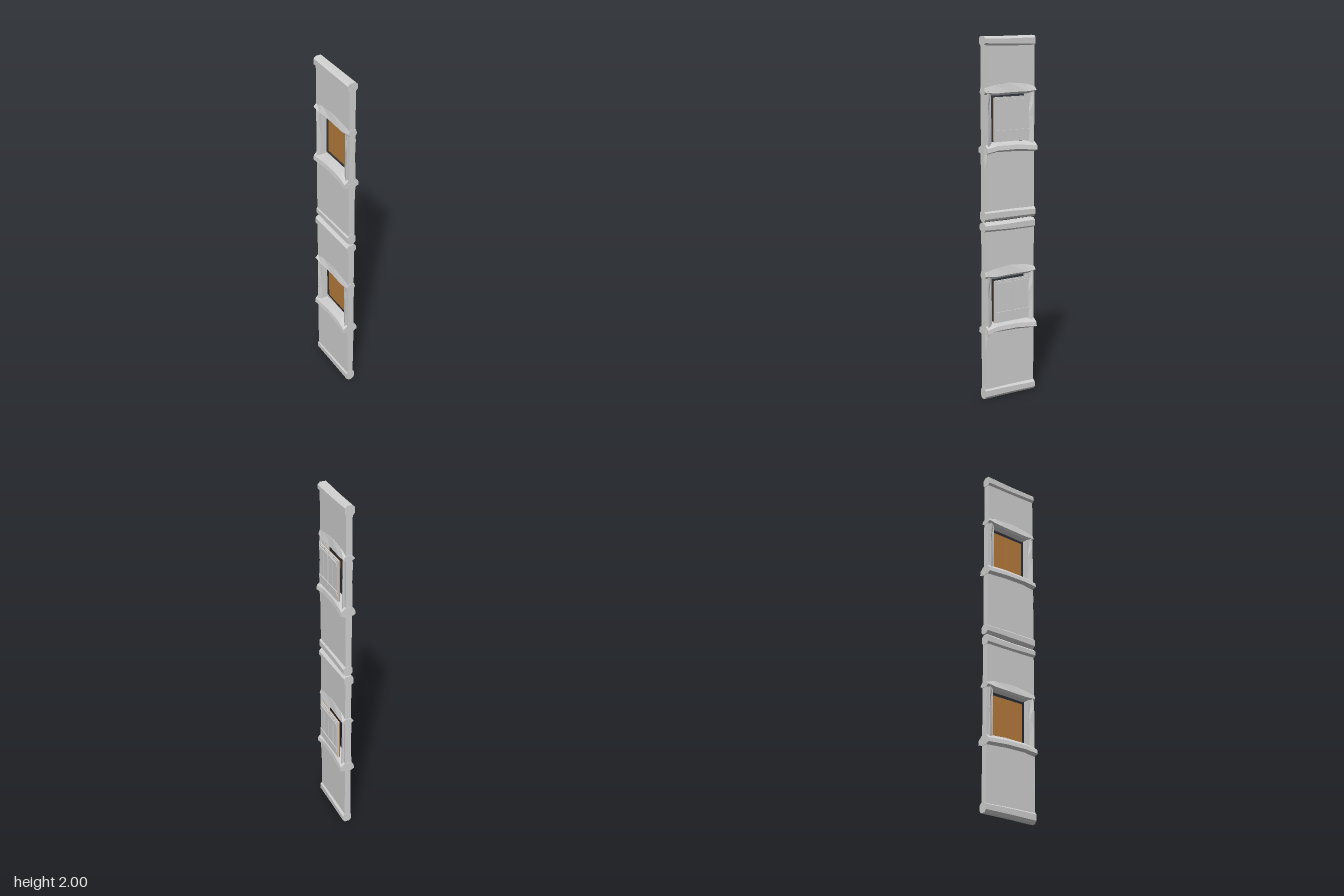
import * as THREE from 'three';

const wallGrey = new THREE.MeshStandardMaterial({ color: 0xd2d2d2 });
wallGrey.name = 'wall grey';
wallGrey.flatShading = true;
const shutterBrown = new THREE.MeshStandardMaterial({ color: 0xb87c3c });
shutterBrown.name = 'shutter brown';

// Closed loft through rings of [x, y, z] points, each ring counter-clockwise seen from +z,
// listed from back (-z) to front (+z)
function loft(name, rings) {
  const n = rings[0].length, pos = [];
  const tri = (a, b, c) => pos.push(...a, ...b, ...c);
  for (let r = 0; r < rings.length - 1; r++) {
    for (let i = 0; i < n; i++) {
      const j = (i + 1) % n, A = rings[r], B = rings[r + 1];
      tri(A[i], A[j], B[j]);
      tri(A[i], B[j], B[i]);
    }
  }
  const back = rings[0], front = rings[rings.length - 1];
  for (let i = 1; i < n - 1; i++) {
    tri(back[0], back[i + 1], back[i]);
    tri(front[0], front[i], front[i + 1]);
  }
  const geo = new THREE.BufferGeometry();
  geo.setAttribute('position', new THREE.Float32BufferAttribute(pos, 3));
  geo.computeVertexNormals();
  const mesh = new THREE.Mesh(geo, wallGrey);
  mesh.name = name;
  return mesh;
}

// Ring with chamfered corners: x from x0 to x1, y from y0 to y1, at depth z
function ring(z, x0, x1, y0, y1, c) {
  return [[x0 + c, y0, z], [x1 - c, y0, z], [x1, y0 + c, z], [x1, y1 - c, z],
    [x1 - c, y1, z], [x0 + c, y1, z], [x0, y1 - c, z], [x0, y0 + c, z]];
}

function box(name, mat, x0, x1, y0, y1, z0, z1) {
  const mesh = new THREE.Mesh(new THREE.BoxGeometry(x1 - x0, y1 - y0, z1 - z0), mat);
  mesh.position.set((x0 + x1) / 2, (y0 + y1) / 2, (z0 + z1) / 2);
  mesh.name = name;
  return mesh;
}

// Wall slab with a window opening, extruded along x
function wall() {
  const s = new THREE.Shape();
  s.moveTo(-0.165, 0.02).lineTo(0.165, 0.02).lineTo(0.165, 0.975).lineTo(-0.165, 0.975).closePath();
  const h = new THREE.Path();
  h.moveTo(-0.122, 0.425).lineTo(-0.122, 0.69).lineTo(0.122, 0.69).lineTo(0.122, 0.425).closePath();
  s.holes.push(h);
  const geo = new THREE.ExtrudeGeometry(s, { depth: 0.036, bevelEnabled: false });
  geo.rotateY(Math.PI / 2).translate(-0.019, 0, 0);
  const mesh = new THREE.Mesh(geo, wallGrey);
  mesh.name = 'wall';
  return mesh;
}

// Lintel and sill: taper outward, with uneven hand-cut ends
function lintel() {
  const section = (z, w, low, high) => [[-w, low + 0.012, z], [-0.018, low, z], [0.018, low, z],
    [w, low + 0.012, z], [0.018, high, z], [-0.018, high, z]];
  return loft('lintel', [
    section(-0.167, 0.034, 0.69, 0.72), section(-0.11, 0.032, 0.685, 0.738),
    section(0, 0.028, 0.685, 0.748), section(0.1, 0.03, 0.682, 0.738), section(0.167, 0.026, 0.69, 0.725)]);
}

function sill() {
  const section = (z, x0, x1, low, mid, high) => [[-0.019, low, z], [0.018, low, z],
    [x1, mid - 0.012, z], [x1 - 0.004, mid + 0.012, z], [0.018, high, z], [-0.019, high, z],
    [x0 + 0.004, mid + 0.012, z], [x0, mid - 0.012, z]];
  return loft('sill', [
    section(-0.167, -0.04, 0.047, 0.365, 0.388, 0.42), section(-0.04, -0.037, 0.037, 0.375, 0.4, 0.43),
    section(0.09, -0.041, 0.036, 0.378, 0.4, 0.43), section(0.162, -0.048, 0.043, 0.368, 0.39, 0.42)]);
}

// Jamb: upright block, widest near its middle
function jamb(side) {
  const group = new THREE.Group();
  group.name = side > 0 ? 'frontJamb' : 'backJamb';
  const levels = [[0.41, 0.03], [0.56, 0.026], [0.64, 0.029], [0.71, 0.027]];
  const rings = levels.map(([y, w], i) => {
    const inner = 0.122 + (i === 2 ? 0.012 : 0);
    return [[-w, -0.15, y], [w, -0.15, y], [0.018, -inner, y],
      [-0.018, -inner, y]].map(([x, d, h]) => [x, d, h]);
  });
  const mesh = loft('jambBlock', rings);
  // loft axis stands up; the block's -y then points to +z
  mesh.geometry.rotateX(-Math.PI / 2);
  if (side < 0) mesh.rotation.y = Math.PI;
  group.add(mesh);
  return group;
}

// Small wedge brace on the wall below the sill's front end
function brace(sx) {
  const mesh = loft('brace', [
    [[-0.018, 0.37, 0.125], [0.018, 0.37, 0.125], [0.018, 0.39, 0.125], [-0.018, 0.39, 0.125]],
    [[-0.02, 0.36, 0.155], [0.026, 0.36, 0.155], [0.026, 0.4, 0.155], [-0.02, 0.4, 0.155]],
    [[-0.019, 0.29, 0.166], [0.018, 0.29, 0.166], [0.02, 0.4, 0.166], [-0.019, 0.4, 0.166]]]);
  mesh.name = sx;
  return mesh;
}

// One shutter leaf: brown inner face, board, raised planks and battens
function shutterLeaf(name, z0, z1) {
  const leaf = new THREE.Group();
  leaf.name = name;
  leaf.add(box('shutterInnerFace', shutterBrown, 0.026, 0.03, 0.437, 0.673, z0, z1));
  leaf.add(box('shutterBoard', wallGrey, 0.03, 0.037, 0.435, 0.675, z0, z1));
  const mid = (z0 + z1) / 2, q = (z1 - z0) / 4;
  for (const c of [mid - q, mid + q]) {
    leaf.add(box('plank', wallGrey, 0.037, 0.042, 0.465, 0.67, c - q * 0.72, c + q * 0.72));
  }
  for (const y of [0.475, 0.64]) {
    leaf.add(box('batten', wallGrey, 0.042, 0.047, y, y + 0.022, z0 + 0.004, z1 - 0.004));
  }
  return leaf;
}

function storey(name) {
  const g = new THREE.Group();
  g.name = name;
  g.add(wall(), lintel(), sill(), jamb(1), jamb(-1), brace('brace'));
  // Floor and ceiling beams, slightly skewed along their length
  g.add(loft('baseBeam', [ring(-0.167, -0.024, 0.03, 0.002, 0.058, 0.014),
    ring(0, -0.026, 0.027, 0.002, 0.064, 0.015), ring(0.167, -0.027, 0.025, 0, 0.066, 0.016)]));
  g.add(loft('topBeam', [ring(-0.167, -0.03, 0.024, 0.94, 0.997, 0.012),
    ring(0, -0.029, 0.027, 0.942, 0.995, 0.012), ring(0.167, -0.031, 0.028, 0.948, 0.997, 0.013)]));
  g.add(shutterLeaf('frontShutter', 0.001, 0.115), shutterLeaf('backShutter', -0.115, -0.001));
  return g;
}

export function createModel() {
  const model = new THREE.Group();
  model.name = 'wallPanel';
  const lower = storey('lowerStorey'), upper = storey('upperStorey');
  upper.position.y = 1.003;
  model.add(lower, upper);
  return model;
}
